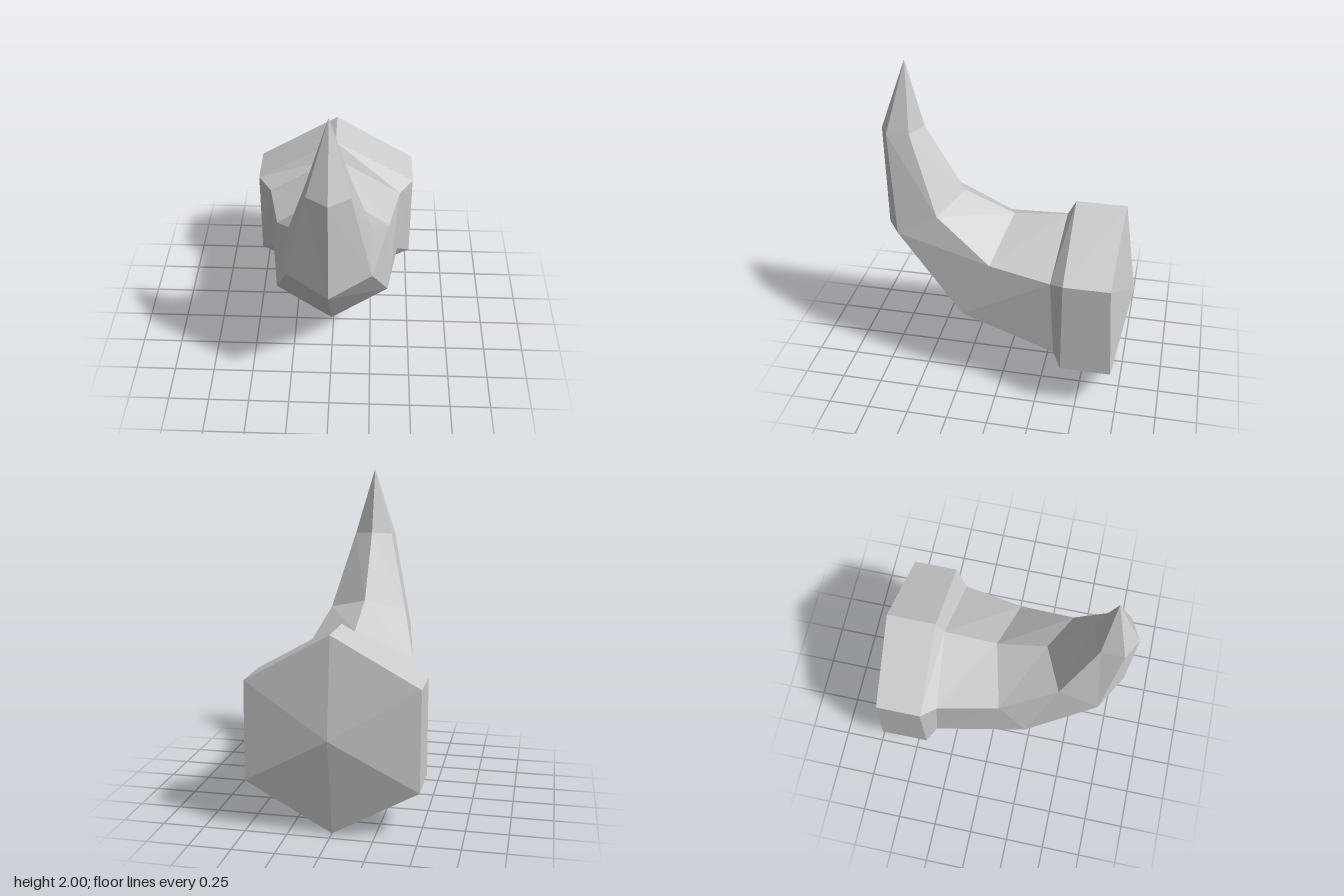
import * as THREE from 'three';

const material = new THREE.MeshStandardMaterial({ color: 0xcccccc, flatShading: true });

// Mirrored six-sided section: half width, then [y, z] of top, upper side, lower side, bottom
function section(w, top, upper, lower, bottom) {
  return [[0, ...top], [w, ...upper], [w, ...lower], [0, ...bottom], [-w, ...lower], [-w, ...upper]];
}
const tip = (y, z) => Array(6).fill([0, y, z]);

// Flat-shaded skin through sections running from back (-z) to front (+z)
function loft(name, sections) {
  const pos = [];
  for (let i = 0; i + 1 < sections.length; i++) {
    const back = sections[i], front = sections[i + 1];
    for (let k = 0; k < 6; k++) {
      const n = (k + 1) % 6;
      if (front[k] !== front[n]) pos.push(...back[k], ...front[k], ...front[n]);
      if (back[k] !== back[n]) pos.push(...back[k], ...front[n], ...back[n]);
    }
  }
  const geometry = new THREE.BufferGeometry();
  geometry.setAttribute('position', new THREE.Float32BufferAttribute(pos, 3));
  geometry.computeVertexNormals();
  const mesh = new THREE.Mesh(geometry, material);
  mesh.name = name;
  return mesh;
}

export function createModel() {
  const group = new THREE.Group();
  group.name = 'curvedHorn';

  const hornRoot = section(0.425, [1.08, -0.355], [0.84, -0.32], [0.345, -0.35], [0.1, -0.315]);

  // Hexagonal collar with a shallow pointed back and a bevelled front
  group.add(loft('collar', [
    tip(0.59, -0.79),
    section(0.508, [1.175, -0.71], [0.885, -0.683], [0.295, -0.71], [0, -0.683]),
    section(0.508, [1.175, -0.405], [0.885, -0.405], [0.295, -0.405], [0, -0.405]),
    hornRoot,
  ]));

  // Horn sweeping forward and up to a point
  group.add(loft('horn', [
    hornRoot,
    section(0.35, [1.05, -0.025], [0.87, 0.06], [0.5, 0.235], [0.32, 0.32]),
    section(0.245, [1.18, 0.285], [1.11, 0.405], [0.97, 0.655], [0.9, 0.785]),
    section(0.12, [1.59, 0.525], [1.58, 0.59], [1.57, 0.73], [1.555, 0.795]),
    tip(2, 0.63),
  ]));

  return group;
}
